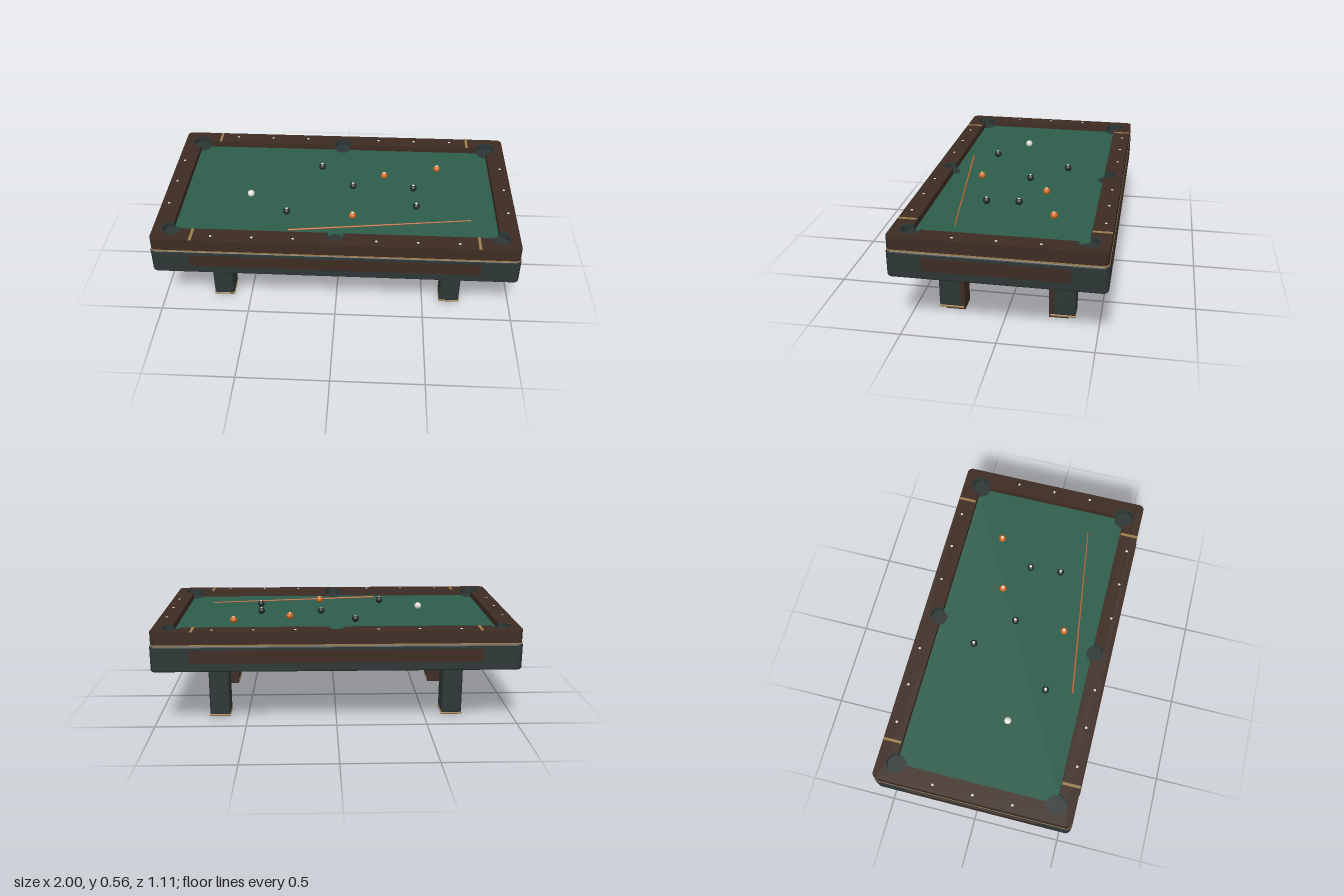
import * as THREE from 'three';
import { RoundedBoxGeometry } from 'three/addons/geometries/RoundedBoxGeometry.js';

const mat = (name, color, side = THREE.FrontSide) => {
  const m = new THREE.MeshStandardMaterial({ color, side });
  m.name = name;
  return m;
};

export function createModel() {
  const model = new THREE.Group();
  model.name = 'billiardTable';
  const slate = mat('darkSlate', 0x2d3636);
  const wood = mat('walnut', 0x3d2b22);
  const cloth = mat('greenCloth', 0x2c5d4a);
  const brass = mat('brass', 0x9c7b4c);
  const ivory = mat('ivory', 0xe2ded6);
  const orange = mat('orange', 0xcf6a22);
  const black = mat('blackBall', 0x222a2a);
  const cueWood = mat('cueWood', 0xb5673a);

  const add = (name, geo, material, x = 0, y = 0, z = 0) => {
    const mesh = new THREE.Mesh(geo, material);
    mesh.name = name;
    mesh.position.set(x, y, z);
    model.add(mesh);
    return mesh;
  };
  const box = (name, material, w, h, d, x, y, z) =>
    add(name, new THREE.BoxGeometry(w, h, d), material, x, y, z);

  // Rounded rectangle in plan
  const roundRect = (a, b, r) => {
    const s = new THREE.Shape();
    s.absarc(a - r, b - r, r, 0, Math.PI / 2);
    s.absarc(-a + r, b - r, r, Math.PI / 2, Math.PI);
    s.absarc(-a + r, -b + r, r, Math.PI, Math.PI * 1.5);
    s.absarc(a - r, -b + r, r, Math.PI * 1.5, Math.PI * 2);
    s.closePath();
    return s;
  };
  // Extrude a plan upwards from y0 to y1
  const slab = (shape, y0, y1, bevel = 0) => {
    const geo = new THREE.ExtrudeGeometry(shape, {
      depth: y1 - y0 - 2 * bevel, curveSegments: 16, bevelEnabled: bevel > 0,
      bevelSize: bevel, bevelThickness: bevel, bevelOffset: -bevel, bevelSegments: 3,
    });
    return geo.rotateX(-Math.PI / 2).translate(0, y0 + bevel, 0);
  };

  // Six pockets, counter-clockwise, with the arc each one cuts into the rail
  const A = 0.885, B = 0.445, q = Math.PI / 2, dip = Math.asin(0.015 / 0.048);
  const pockets = [
    { x: A, y: B, r: 0.055, from: -q, to: 2 * q },
    { x: 0, y: B + 0.015, r: 0.048, from: -dip, to: 2 * q + dip },
    { x: -A, y: B, r: 0.055, from: 0, to: 3 * q },
    { x: -A, y: -B, r: 0.055, from: q, to: 4 * q },
    { x: 0, y: -B - 0.015, r: 0.048, from: 2 * q - dip, to: 4 * q + dip },
    { x: A, y: -B, r: 0.055, from: 2 * q, to: 5 * q },
  ];

  // Top rail with pocket notches
  const rail = roundRect(0.99, 0.55, 0.03);
  const opening = new THREE.Path();
  pockets.forEach((p) => opening.absarc(p.x, p.y, p.r, p.from, p.to, false));
  opening.closePath();
  rail.holes.push(opening);
  add('rail', slab(rail, 0.48, 0.55), wood);

  // Pocket liners and wells
  pockets.forEach((p) => {
    const ring = new THREE.Shape();
    ring.absarc(p.x, p.y, p.r + 0.002, p.from, p.to, false);
    ring.absarc(p.x, p.y, p.r - 0.004, p.to, p.from, true);
    ring.closePath();
    add('pocketLiner', slab(ring, 0.5, 0.552), slate);
    add('pocketWell', new THREE.CylinderGeometry(p.r - 0.001, 0.037, 0.117, 28), slate, p.x, 0.4585, -p.y);
  });

  // Playing bed
  box('bed', cloth, 1.88, 0.065, 1.0, 0, 0.4825, 0);

  // Brass trim line and apron frame
  const trim = roundRect(0.992, 0.552, 0.03);
  trim.holes.push(roundRect(0.91, 0.47, 0.01));
  add('trimLine', slab(trim, 0.474, 0.481), brass);
  const apron = roundRect(0.995, 0.553, 0.03);
  apron.holes.push(roundRect(0.895, 0.453, 0.01));
  add('apron', slab(apron, 0.33, 0.475, 0.01), slate);

  // Inlaid apron panels
  for (const s of [-1, 1]) {
    box('longPanel', wood, 1.57, 0.07, 0.008, 0, 0.415, s * 0.553);
    box('endPanel', wood, 0.008, 0.07, 0.736, s * 0.996, 0.415, 0);
  }

  // Legs: slate outer post, walnut inner post, brass foot
  for (const sx of [-1, 1]) for (const sz of [-1, 1]) {
    const x = sx * 0.655;
    add('legOuter', new RoundedBoxGeometry(0.114, 0.4, 0.122, 3, 0.012), slate, x, 0.215, sz * 0.309);
    box('legInner', wood, 0.108, 0.42, 0.104, x, 0.212, sz * 0.28);
    add('legFoot', new RoundedBoxGeometry(0.118, 0.013, 0.137, 2, 0.005), brass, x, 0.0145, sz * 0.302);
    box('legSole', wood, 0.104, 0.006, 0.104, x, 0.003, sz * 0.28);
  }

  // Rail bands and sight markers
  const dot = new THREE.CylinderGeometry(0.007, 0.007, 0.004, 12);
  for (const s of [-1, 1]) {
    for (const x of [-0.77, 0.77]) box('railBand', brass, 0.015, 0.004, 0.1, x, 0.551, s * 0.499);
    for (const x of [-0.665, -0.443, -0.222, 0.222, 0.443, 0.665]) add('sightMarker', dot, ivory, x, 0.55, s * 0.507);
    for (const z of [-0.22, 0, 0.22]) add('sightMarker', dot, ivory, s * 0.95, 0.55, z);
  }

  // Balls with a pale spot on top
  const ballGeo = new THREE.SphereGeometry(0.02, 24, 16);
  const spotGeo = new THREE.SphereGeometry(0.0203, 16, 4, 0, Math.PI * 2, 0, 0.42);
  const balls = [
    [ivory, -0.505, 0.08],
    [orange, 0.575, -0.23], [orange, 0.26, -0.145], [orange, 0.087, 0.26],
    [black, -0.113, -0.22], [black, 0.08, -0.025], [black, 0.43, -0.02],
    [black, 0.443, 0.157], [black, -0.283, 0.24],
  ];
  balls.forEach(([m, x, z]) => {
    add('ball', ballGeo, m, x, 0.535, z);
    if (m !== ivory) add('ballSpot', spotGeo, ivory, x, 0.535, z);
  });

  // Cue lying on the cloth
  const start = new THREE.Vector3(-0.26, 0.519, 0.39), end = new THREE.Vector3(0.745, 0.519, 0.257);
  const cue = add('cue', new THREE.CylinderGeometry(0.0035, 0.0055, start.distanceTo(end), 10), cueWood);
  cue.position.copy(start).lerp(end, 0.5);
  cue.quaternion.setFromUnitVectors(new THREE.Vector3(0, 1, 0), end.clone().sub(start).normalize());

  return model;
}
